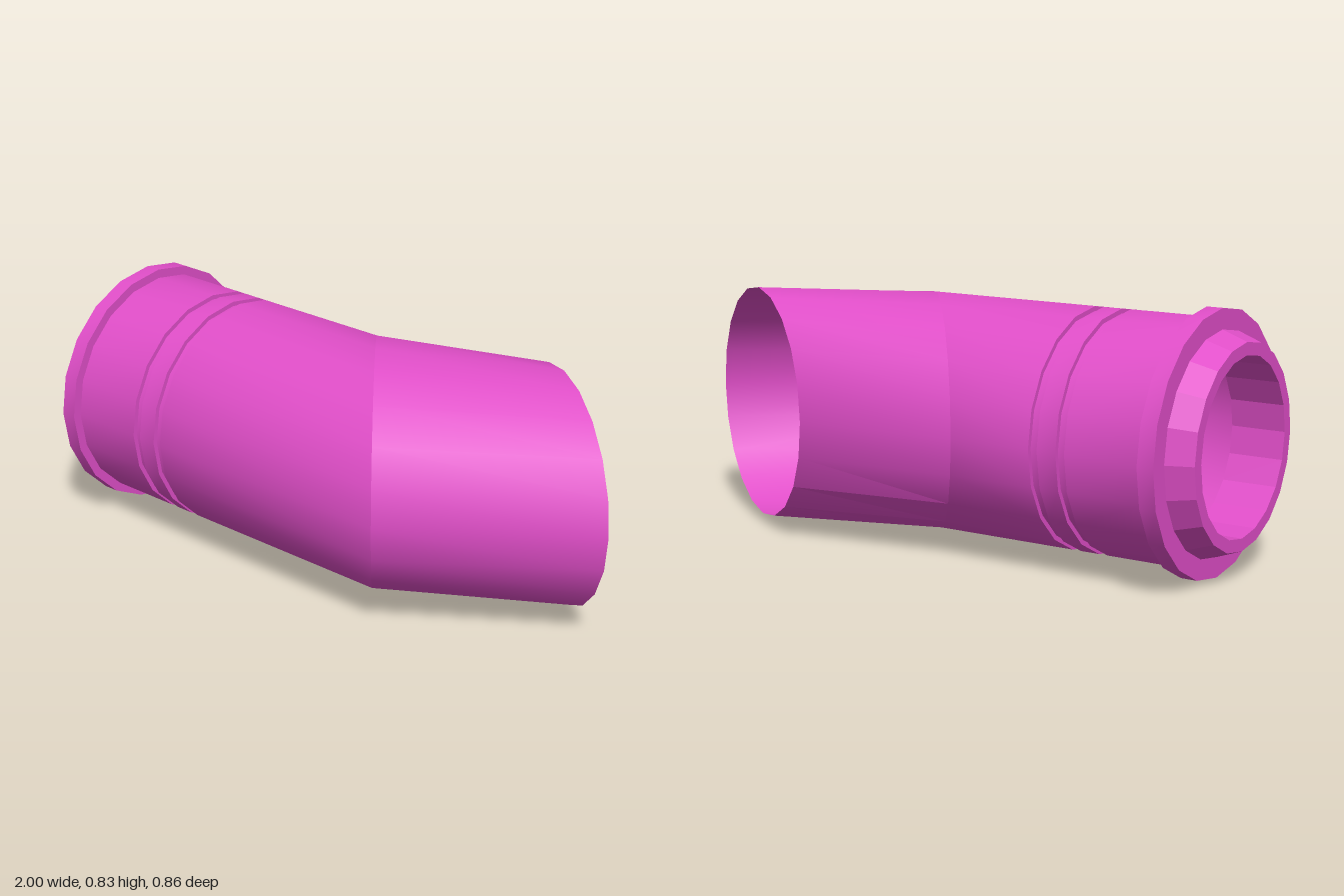
import * as THREE from 'three';
import { toCreasedNormals } from 'three/addons/utils/BufferGeometryUtils.js';

const SIDES = 20, R = 0.385, CY = 0.418, CZ = 0.013;

export function createModel() {
  const group = new THREE.Group();
  const smooth = new THREE.MeshStandardMaterial({ color: 0xe04ec8, side: THREE.DoubleSide });
  const flat = smooth.clone();
  flat.flatShading = true;

  const add = (name, geometry, material = smooth) => {
    const mesh = new THREE.Mesh(geometry, material);
    mesh.name = name;
    group.add(mesh);
  };

  // Surface turned around the pipe axis; profile points are [x, radius]
  const turned = (name, profile, material) => {
    const g = new THREE.LatheGeometry(profile.map(([x, r]) => new THREE.Vector2(r, x)), SIDES);
    g.rotateZ(-Math.PI / 2).translate(0, CY, CZ);
    add(name, toCreasedNormals(g, 0.5), material);
  };

  // Pipe wall between two slanted rings; each ring is centre x, z and half-extent x, z
  const loft = (name, a, b) => {
    const pos = [], index = [];
    for (let i = 0; i <= SIDES; i++) {
      const t = (i / SIDES) * Math.PI * 2, c = Math.cos(t);
      for (const s of [a, b]) pos.push(s.x + s.ax * c, CY + R * Math.sin(t), s.z + s.az * c);
      if (i < SIDES) {
        const k = i * 2;
        index.push(k, k + 1, k + 2, k + 1, k + 3, k + 2);
      }
    }
    const g = new THREE.BufferGeometry();
    g.setAttribute('position', new THREE.Float32BufferAttribute(pos, 3));
    g.setIndex(index);
    add(name, toCreasedNormals(g, 0.5));
  };

  // Inlet: short bore, end face and tapered neck
  turned('inletBore', [[-0.82, 0.28], [-1, 0.28]], flat);
  turned('inletNeck', [[-1, 0.28], [-1, 0.32], [-0.917, 0.35]], flat);

  // Raised flange
  turned('flange', [[-0.917, 0.35], [-0.917, 0.415], [-0.863, 0.415], [-0.863, R]]);

  // Collar with two shallow grooves
  const groove = R - 0.015;
  turned('groovedCollar', [
    [-0.863, R], [-0.603, R], [-0.603, groove], [-0.573, groove], [-0.573, R],
    [-0.508, R], [-0.508, groove], [-0.478, groove], [-0.478, R],
  ]);

  // Straight pipe up to the mitre, then the bent outlet with a slanted open mouth
  const start = { x: -0.478, z: CZ, ax: 0, az: R };
  const mitre = { x: 0.115, z: CZ, ax: 0.315, az: R };
  const mouth = { x: 0.67, z: -0.225, ax: 0.33, az: 0.205 };
  loft('straightPipe', start, mitre);
  loft('bentOutlet', mitre, mouth);

  return group;
}
